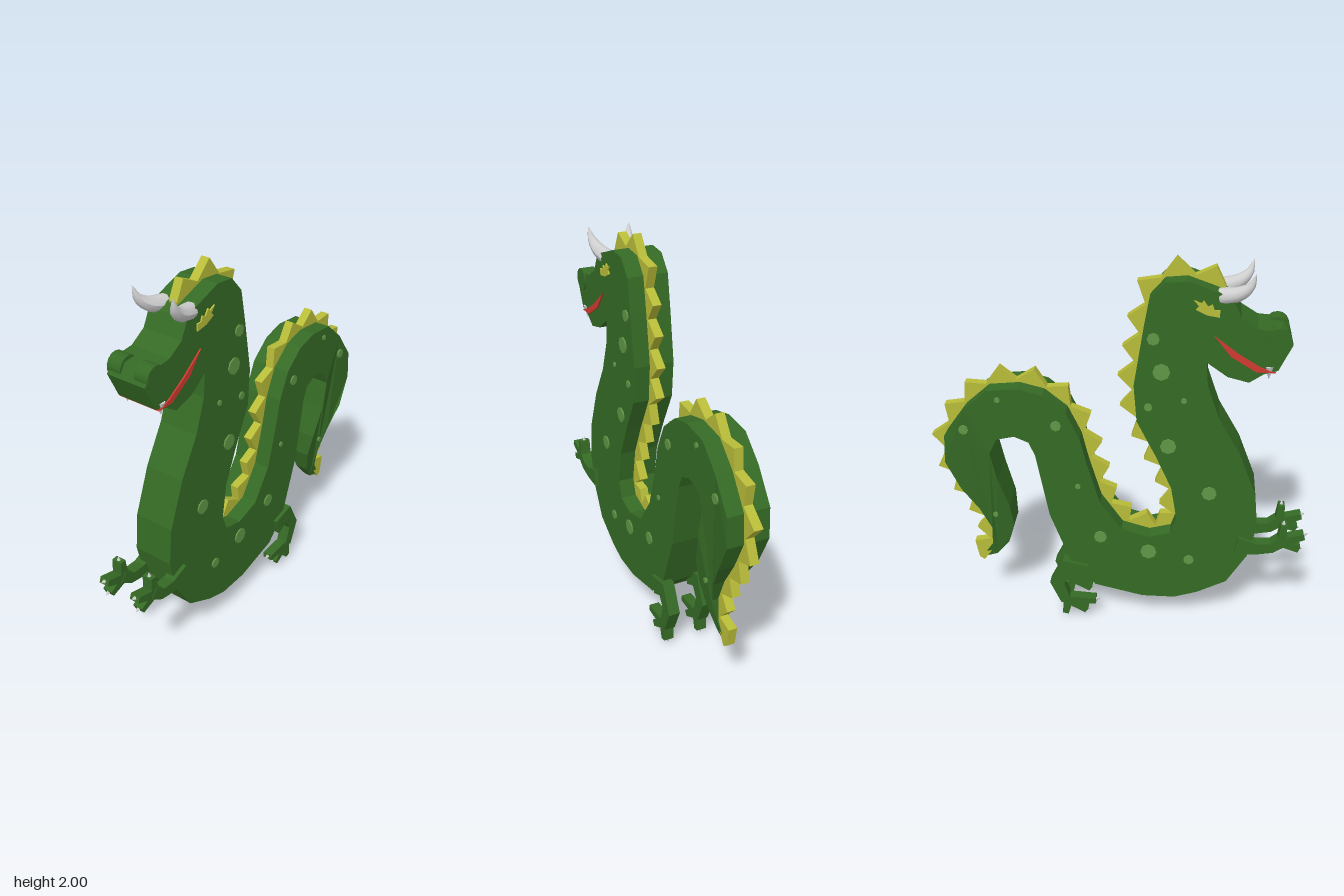
import * as THREE from 'three';

const mat = (name, color, side = THREE.FrontSide) => {
  const m = new THREE.MeshStandardMaterial({ color, side });
  m.name = name;
  return m;
};
const V2 = (p) => new THREE.Vector2(p[0], p[1]);
const HALF = 0.105; // half thickness of the body

// The tail thins sideways towards its tip
const tailScale = (x, y) => (x > 0.55 && y < 0.78 ? THREE.MathUtils.clamp((y - 0.24) / 0.54, 0.15, 1) : 1);

// Extrudes an outline in the side plane, centred on z
function slab(points, thickness) {
  const g = new THREE.ExtrudeGeometry(new THREE.Shape(points.map(V2)), { depth: thickness, bevelEnabled: false });
  return g.translate(0, 0, -thickness / 2);
}

// Outline of a bent bar with a width at each point
function bar(points, widths) {
  const left = [], right = [];
  points.forEach((p, i) => {
    const a = points[Math.max(i - 1, 0)], b = points[Math.min(i + 1, points.length - 1)];
    const n = V2([a[1] - b[1], b[0] - a[0]]).normalize().multiplyScalar(widths[i] / 2);
    left.push([p[0] + n.x, p[1] + n.y]);
    right.unshift([p[0] - n.x, p[1] - n.y]);
  });
  return [...left, ...right];
}

// Tube along a curve, narrowing to a point
function horn(points, radius) {
  const curve = new THREE.CatmullRomCurve3(points.map((p) => new THREE.Vector3(...p)));
  const rings = 8, sides = 10;
  const g = new THREE.TubeGeometry(curve, rings, radius, sides, false);
  const pos = g.attributes.position, v = new THREE.Vector3();
  for (let i = 0; i < pos.count; i++) {
    const t = Math.floor(i / (sides + 1)) / rings;
    const c = curve.getPointAt(t);
    v.fromBufferAttribute(pos, i).sub(c).multiplyScalar(1 - 0.97 * t * t).add(c);
    pos.setXYZ(i, v.x, v.y, v.z);
  }
  g.computeVertexNormals();
  return g;
}

export function createModel() {
  const green = mat('scaleGreen', 0x356a25);
  const yellow = mat('spineYellow', 0xb8bc38);
  const spotGreen = mat('spotGreen', 0x5f9546);
  const red = mat('mouthRed', 0xcf3a30);
  const ivory = mat('hornGrey', 0xcfcfcf);

  const model = new THREE.Group();
  model.name = 'dragon';
  const body = new THREE.Group();
  body.name = 'dragonBody';
  body.rotation.y = Math.PI / 4;
  model.add(body);
  const add = (name, geometry, material) => {
    const m = new THREE.Mesh(geometry, material);
    m.name = name;
    body.add(m);
    return m;
  };

  // Side outline: back edge from brow to tail tip, then belly edge back to the snout
  const back = [
    [-0.44, 1.86], [-0.27, 1.92], [-0.17, 1.91], [-0.1, 1.83], [-0.07, 1.66], [-0.03, 1.4], [-0.045, 1.21],
    [-0.14, 1.02], [-0.22, 0.84], [-0.25, 0.66], [-0.22, 0.57], [-0.11, 0.54], [0.03, 0.58], [0.14, 0.74],
    [0.2, 0.95], [0.235, 1.1], [0.3, 1.24], [0.41, 1.33], [0.53, 1.36], [0.68, 1.345], [0.8, 1.24],
    [0.91, 1.09], [0.92, 0.94], [0.85, 0.785], [0.77, 0.65], [0.72, 0.52], [0.73, 0.4], [0.8, 0.3],
  ];
  const belly = [
    [0.71, 0.33], [0.64, 0.42], [0.6, 0.55], [0.61, 0.68], [0.66, 0.85], [0.69, 1.0], [0.65, 1.08], [0.56, 1.1],
    [0.49, 1.07], [0.46, 1.0], [0.4, 0.65], [0.29, 0.34], [0.17, 0.22], [-0.08, 0.16], [-0.25, 0.16],
    [-0.37, 0.2], [-0.52, 0.28], [-0.62, 0.45], [-0.66, 0.63], [-0.64, 0.82], [-0.55, 1.05], [-0.44, 1.24],
    [-0.38, 1.41], [-0.37, 1.53], [-0.47, 1.46], [-0.57, 1.435], [-0.635, 1.48], [-0.7, 1.5], [-0.76, 1.63],
    [-0.72, 1.69], [-0.6, 1.7], [-0.52, 1.75], [-0.48, 1.83],
  ];
  const trunk = slab([...back, ...belly], HALF * 2);
  const pos = trunk.attributes.position;
  for (let i = 0; i < pos.count; i++) pos.setZ(i, pos.getZ(i) * tailScale(pos.getX(i), pos.getY(i)));
  trunk.computeVertexNormals();
  add('trunk', trunk, green);

  // Saw-toothed ridge following the back edge
  const path = new THREE.CurvePath();
  for (let i = 1; i < back.length; i++) path.add(new THREE.LineCurve(V2(back[i - 1]), V2(back[i])));
  const teeth = 29, outer = [], inner = [];
  const offset = (t, d) => {
    const p = path.getPointAt(t);
    const a = path.getPointAt(Math.max(t - 0.008, 0)), b = path.getPointAt(Math.min(t + 0.008, 1));
    const n = new THREE.Vector2(a.y - b.y, b.x - a.x).normalize();
    return [p.x + n.x * d, p.y + n.y * d];
  };
  for (let i = 0; i <= teeth; i++) {
    outer.push(offset(i / teeth, 0.012));
    inner.unshift(offset(i / teeth, -0.02));
    if (i < teeth) {
      outer.push(offset((i + 0.5) / teeth, 0.085));
      inner.unshift(offset((i + 0.5) / teeth, -0.02));
    }
  }
  add('spineRidge', slab([...outer, ...inner], 0.045), yellow);

  // Mouth slit
  add('mouth', slab([[-0.69, 1.49], [-0.62, 1.515], [-0.52, 1.575], [-0.4, 1.665], [-0.48, 1.565], [-0.6, 1.492]],
    HALF * 2 + 0.014), red);

  // Spots on both flanks: x, y, radius
  const spots = [
    [-0.12, 1.64, 0.03], [-0.16, 1.475, 0.042], [-0.27, 1.33, 0.014], [-0.1, 1.29, 0.02], [-0.2, 1.08, 0.04],
    [-0.41, 0.82, 0.038], [-0.32, 0.41, 0.027], [-0.11, 0.45, 0.042], [0.14, 0.53, 0.034], [0.25, 0.83, 0.014],
    [0.35, 1.17, 0.027], [0.63, 1.3, 0.014], [0.81, 1.13, 0.025], [0.69, 0.62, 0.014],
  ];
  const eye = [
    [-0.42, 1.755], [-0.36, 1.765], [-0.31, 1.79], [-0.325, 1.805], [-0.3, 1.835], [-0.335, 1.82],
    [-0.345, 1.835], [-0.365, 1.805], [-0.385, 1.815], [-0.395, 1.79], [-0.42, 1.79],
  ];

  // Limb outlines: upper limb, then digits with claw tips
  const limbs = {
    arm: {
      limb: [[-0.56, 0.52], [-0.66, 0.505], [-0.74, 0.515], [-0.8, 0.56]], widths: [0.1, 0.065, 0.055, 0.06],
      palm: [-0.79, 0.55], tips: [[-0.9, 0.59], [-0.795, 0.65], [-0.88, 0.51]],
    },
    leg: {
      limb: [[0.22, 0.3], [0.32, 0.33], [0.375, 0.23], [0.33, 0.11]], widths: [0.1, 0.1, 0.075, 0.055],
      palm: [0.32, 0.115], tips: [[0.17, 0.115], [0.22, 0.05], [0.335, 0.025]],
    },
  };

  for (const [side, s] of [['left', 1], ['right', -1]]) {
    for (const [x, y, r] of spots) {
      const disc = new THREE.CylinderGeometry(r, r, 0.009, 8).rotateX(Math.PI / 2);
      add(side + 'Spot', disc, spotGreen).position.set(x, y, s * (HALF * tailScale(x, y) + 0.003));
    }
    add(side + 'Eye', slab(eye, 0.009), yellow).position.z = s * (HALF + 0.003);

    // Nostril, fang and horn
    const nostril = new THREE.CylinderGeometry(0.056, 0.056, 0.075, 14).rotateX(Math.PI / 2);
    add(side + 'Nostril', nostril, green).position.set(-0.695, 1.655, s * 0.075);
    const fang = new THREE.ConeGeometry(0.022, 0.065, 8).rotateX(Math.PI);
    add(side + 'Fang', fang, ivory).position.set(-0.66, 1.485, s * 0.095);
    add(side + 'Horn', horn([[-0.42, 1.84, s * 0.07], [-0.5, 1.86, s * 0.085], [-0.55, 1.9, s * 0.1],
      [-0.57, 1.96, s * 0.11]], 0.04), ivory);

    for (const [kind, { limb, widths, palm, tips }] of Object.entries(limbs)) {
      const z = s * 0.095;
      add(side + kind, slab(bar(limb, widths), 0.06), green).position.z = z;
      for (const tip of tips) {
        add(side + kind + 'Digit', slab(bar([palm, tip], [0.05, 0.032]), 0.054), green).position.z = z;
        const d = V2(tip).sub(V2(palm)).normalize();
        const claw = add(side + kind + 'Claw', new THREE.ConeGeometry(0.013, 0.03, 6), ivory);
        claw.position.set(tip[0] + d.x * 0.008, tip[1] + d.y * 0.008, z);
        claw.rotation.z = Math.atan2(-d.x, d.y);
      }
    }
  }
  return model;
}
